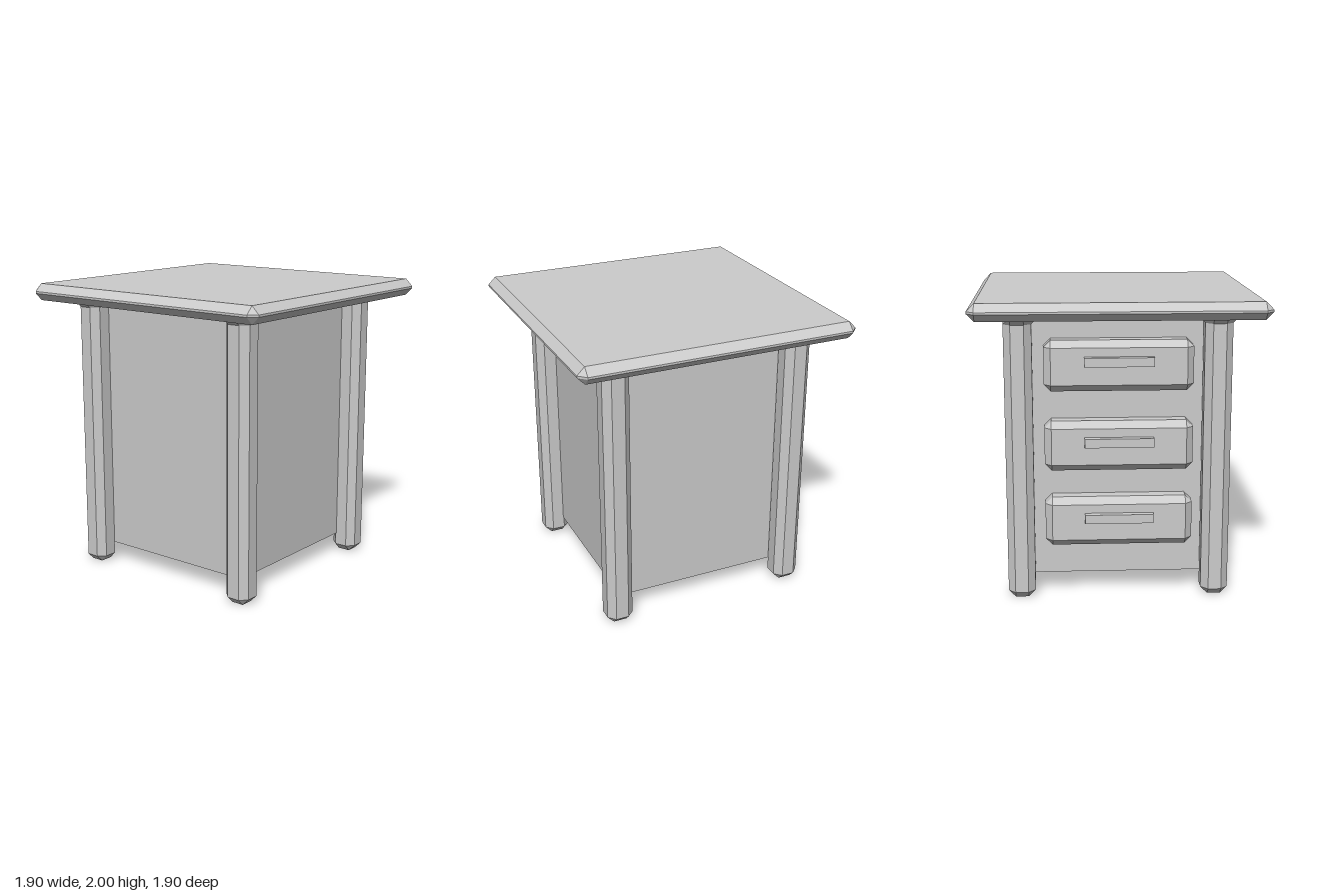
import * as THREE from 'three';
import { ConvexGeometry } from 'three/addons/geometries/ConvexGeometry.js';

const material = new THREE.MeshStandardMaterial({ color: 0xcccccc, flatShading: true });

function addMesh(parent, name, geometry, x = 0, y = 0, z = 0) {
  const mesh = new THREE.Mesh(geometry, material);
  mesh.name = name;
  mesh.position.set(x, y, z);
  parent.add(mesh);
  return mesh;
}

// Box with every edge cut back by a flat bevel
function beveledBox(w, h, d, bevel) {
  const half = [w / 2, h / 2, d / 2];
  const points = [];
  for (const sx of [-1, 1]) for (const sy of [-1, 1]) for (const sz of [-1, 1]) {
    const sign = [sx, sy, sz];
    for (let face = 0; face < 3; face++) {
      const p = half.map((v, i) => sign[i] * (i === face ? v : v - bevel));
      points.push(new THREE.Vector3(...p));
    }
  }
  return new ConvexGeometry(points);
}

// Eight-sided collar widening upwards; the +x side can be cut off flush
function flare(inner, outer, flat, height, maxX) {
  const points = [];
  for (const [r, y] of [[inner, 0], [outer, height]]) {
    for (const a of [-1, 1]) for (const b of [-1, 1]) {
      points.push(new THREE.Vector3(Math.min(a * r, maxX), y, b * flat));
      points.push(new THREE.Vector3(a * flat, y, b * r));
    }
  }
  return new ConvexGeometry(points);
}

export function createModel() {
  const model = new THREE.Group();
  model.name = 'drawerCabinet';

  // Table top and cabinet body, its panels set back behind the leg centres
  addMesh(model, 'tableTop', beveledBox(1.9, 0.114, 1.9, 0.05), 0, 1.943, 0);
  addMesh(model, 'body', new THREE.BoxGeometry(1.19, 1.77, 1.18), 0, 1.015, 0);

  // Corner legs with collars under the top
  const legGeometry = beveledBox(0.18, 1.94, 0.182, 0.047);
  for (const sx of [-1, 1]) for (const sz of [-1, 1]) {
    const leg = new THREE.Group();
    leg.name = (sz > 0 ? 'front' : 'back') + (sx > 0 ? 'Left' : 'Right') + 'Leg';
    leg.position.set(sx > 0 ? 0.648 : -0.64, 0, sz > 0 ? 0.629 : -0.655);
    addMesh(leg, 'legPost', legGeometry, 0, 0.97, 0);
    addMesh(leg, 'legCollar', flare(0.09, 0.138, 0.0435, 0.052, sx > 0 ? 0.0898 : 1), 0, 1.84, 0);
    model.add(leg);
  }

  // Three drawers on the back side, each with a bar handle
  const drawerGeometry = beveledBox(0.97, 0.333, 0.2, 0.045);
  const handleGeometry = new THREE.BoxGeometry(0.45, 0.06, 0.07);
  for (const y of [1.6, 1.07, 0.555]) {
    const drawer = new THREE.Group();
    drawer.name = 'drawer';
    drawer.position.set(0, y, 0);
    addMesh(drawer, 'drawerFront', drawerGeometry, 0, -0.034, -0.617);
    addMesh(drawer, 'drawerHandle', handleGeometry, 0, 0, -0.726);
    model.add(drawer);
  }

  return model;
}
